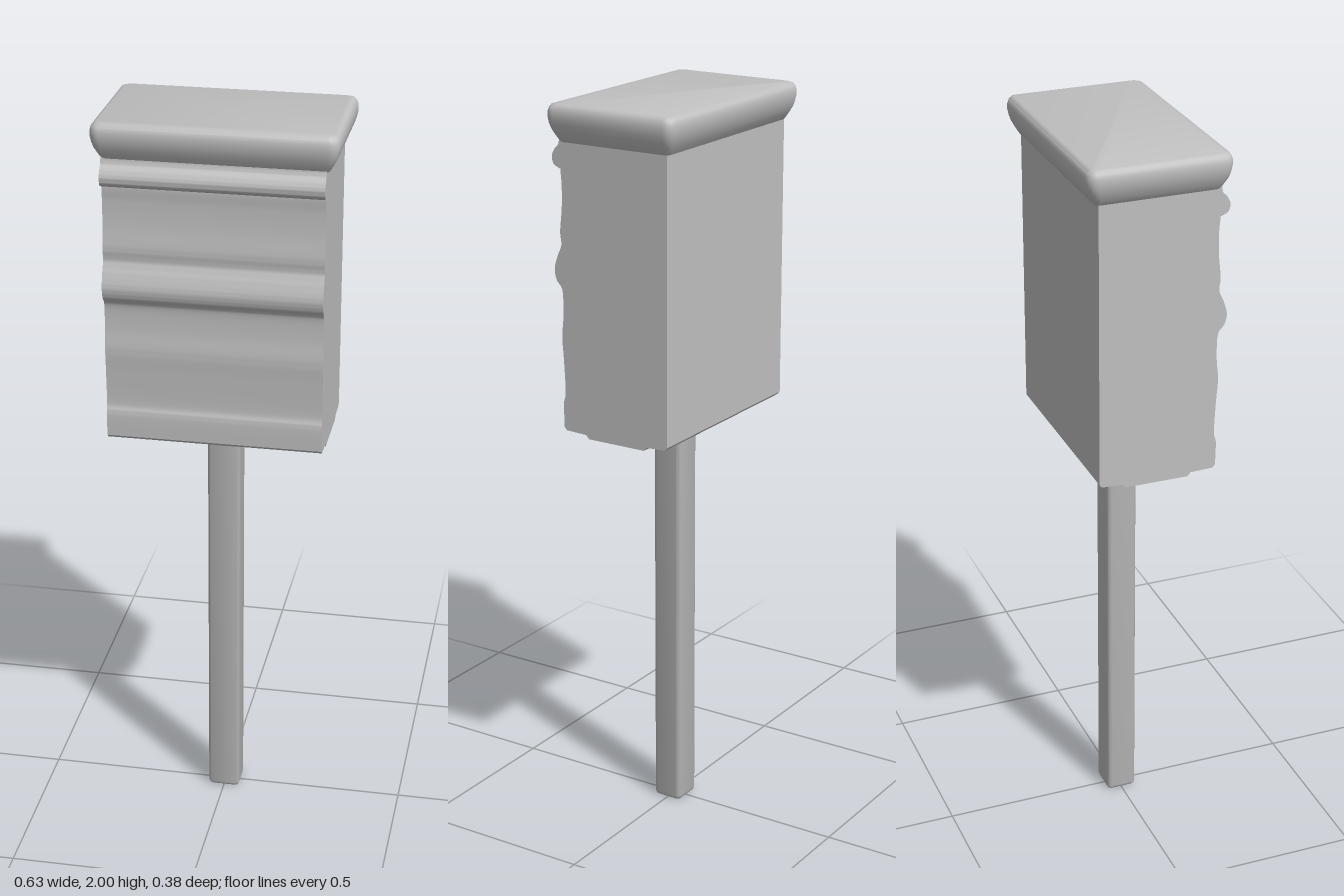
import * as THREE from 'three';
import { toCreasedNormals } from 'three/addons/utils/BufferGeometryUtils.js';

const grey = new THREE.MeshStandardMaterial({ color: 0xc0c0c0 });
grey.name = 'grey';

// Outline of a rounded rectangle, counter-clockwise in (x, z)
function ring(hx, hz, r, steps = 5) {
  const pts = [];
  [[1, 1], [-1, 1], [-1, -1], [1, -1]].forEach(([sx, sz], q) => {
    for (let i = 0; i <= steps; i++) {
      const a = (q + i / steps) * Math.PI / 2;
      pts.push([sx * (hx - r) + r * Math.cos(a), sz * (hz - r) + r * Math.sin(a)]);
    }
  });
  return pts;
}

// Closed solid through rounded rectangles: rows of [y, half x, half z, corner radius]
function loft(rows, crease) {
  const pos = [], idx = [];
  const n = ring(1, 1, 0.1).length;
  rows.forEach(([y, hx, hz, r]) => ring(hx, hz, r).forEach(([x, z]) => pos.push(x, y, z)));
  for (let j = 0; j < rows.length - 1; j++) {
    for (let i = 0; i < n; i++) {
      const a = j * n + i, b = j * n + (i + 1) % n;
      idx.push(a, a + n, b, b, a + n, b + n);
    }
  }
  const top = (rows.length - 1) * n;
  for (let i = 1; i < n - 1; i++) {
    idx.push(0, i, i + 1);
    idx.push(top, top + i + 1, top + i);
  }
  const geo = new THREE.BufferGeometry();
  geo.setAttribute('position', new THREE.Float32BufferAttribute(pos, 3));
  geo.setIndex(idx);
  return toCreasedNormals(geo, crease);
}

export function createModel() {
  const group = new THREE.Group();
  const add = (name, geo) => {
    const mesh = new THREE.Mesh(geo, grey);
    mesh.name = name;
    group.add(mesh);
    return mesh;
  };

  // Box body: side profile (z, y) with a rippled front, extruded across x
  const front = new THREE.SplineCurve([
    [0.163, 1.145], [0.164, 1.21], [0.158, 1.24], [0.162, 1.33], [0.166, 1.39],
    [0.161, 1.45], [0.163, 1.515], [0.18, 1.54], [0.186, 1.57], [0.176, 1.605],
    [0.164, 1.635], [0.167, 1.67], [0.161, 1.73], [0.16, 1.79], [0.163, 1.825],
  ].map(([z, y]) => new THREE.Vector2(z, y))).getPoints(84);
  const bead = new THREE.SplineCurve([
    [0.163, 1.832], [0.183, 1.842], [0.189, 1.862], [0.18, 1.882], [0.168, 1.896], [0.165, 1.92],
  ].map(([z, y]) => new THREE.Vector2(z, y))).getPoints(24);
  const profile = new THREE.Shape([
    new THREE.Vector2(-0.157, 1.92), new THREE.Vector2(-0.157, 1.145),
    new THREE.Vector2(-0.15, 1.137), new THREE.Vector2(-0.095, 1.135),
    new THREE.Vector2(-0.085, 1.125), new THREE.Vector2(0.085, 1.125),
    new THREE.Vector2(0.095, 1.135), new THREE.Vector2(0.155, 1.137),
    ...front, ...bead,
  ]);
  const body = new THREE.ExtrudeGeometry(profile, { depth: 0.57, bevelEnabled: false });
  body.rotateY(-Math.PI / 2).translate(0.282, 0, 0);
  add('body', toCreasedNormals(body, 0.6));

  // Overhanging rounded lid
  add('lid', loft([
    [1.902, 0.286, 0.163, 0.012], [1.908, 0.291, 0.167, 0.015],
    [1.92, 0.298, 0.174, 0.018], [1.935, 0.306, 0.182, 0.022],
    [1.95, 0.311, 0.187, 0.025], [1.965, 0.314, 0.19, 0.027],
    [1.98, 0.314, 0.19, 0.027], [1.99, 0.311, 0.187, 0.025],
    [1.997, 0.306, 0.182, 0.022], [2.0, 0.298, 0.174, 0.018],
  ], 0.7));

  // Square post with softened corners, flaring under the body
  add('post', loft([
    [0, 0.036, 0.034, 0.008], [0.004, 0.041, 0.039, 0.01], [0.012, 0.044, 0.042, 0.012],
    [1.08, 0.044, 0.042, 0.012], [1.095, 0.048, 0.046, 0.013],
    [1.106, 0.058, 0.055, 0.015], [1.114, 0.075, 0.07, 0.018],
    [1.12, 0.085, 0.08, 0.02], [1.13, 0.088, 0.083, 0.02],
  ], 0.7));

  return group;
}
